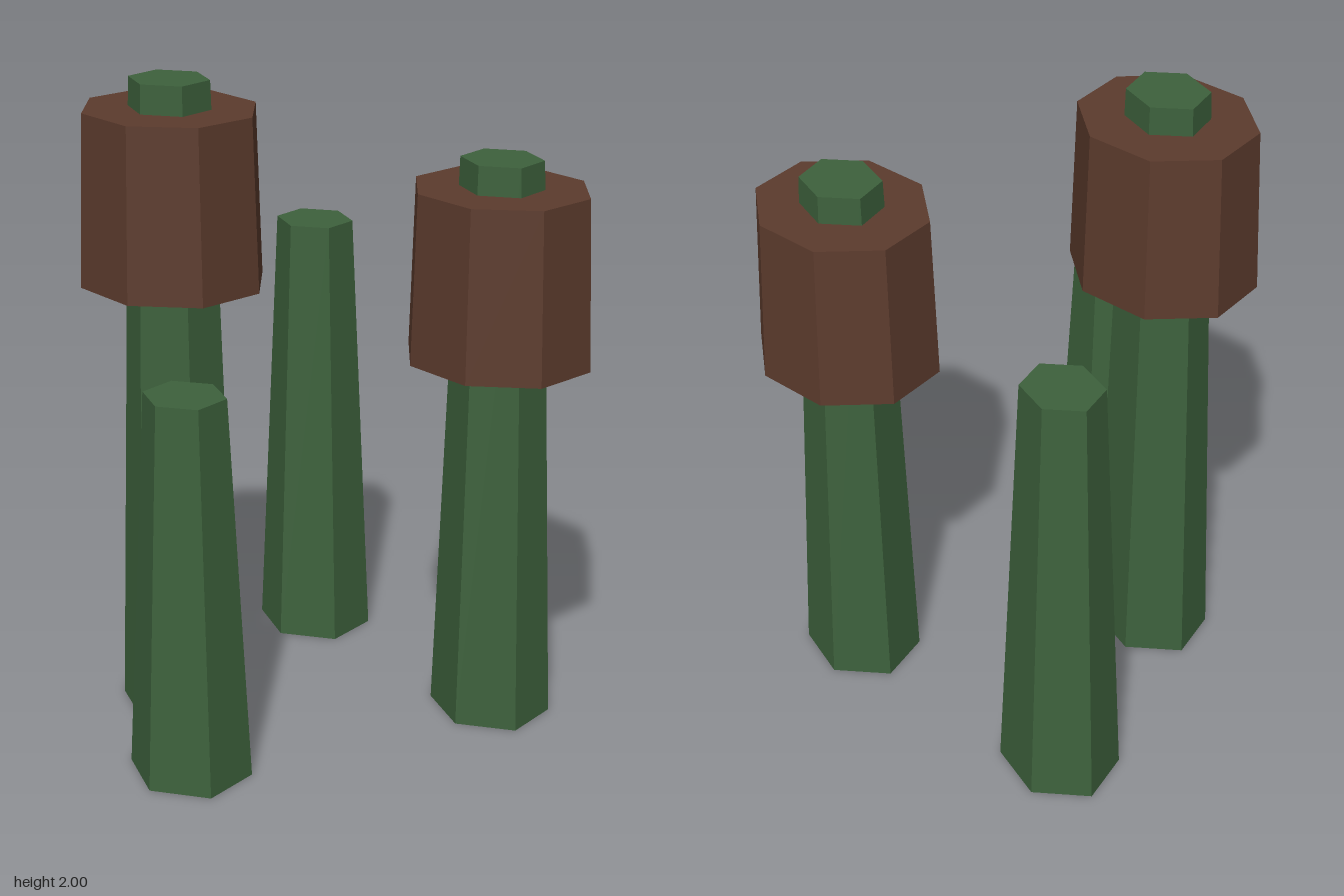
import * as THREE from 'three';

const green = new THREE.MeshStandardMaterial({ color: 0x3d613c, flatShading: true });
green.name = 'stalk green';
const brown = new THREE.MeshStandardMaterial({ color: 0x5c3b2d, flatShading: true });
brown.name = 'seed head brown';

const SQUASH = 0.865; // every reed is slightly narrower in x than in z

// A tapered prism standing on y = base
function taper(name, rTop, rBottom, height, sides, base, material) {
  const geometry = new THREE.CylinderGeometry(rTop, rBottom, height, sides);
  geometry.scale(SQUASH, 1, 1);
  geometry.translate(0, base + height / 2, 0);
  const mesh = new THREE.Mesh(geometry, material);
  mesh.name = name;
  return mesh;
}

export function createModel() {
  const model = new THREE.Group();
  model.name = 'reeds';

  // Two tall reeds with seed heads, two bare stalks
  const reeds = [
    { name: 'tallReed', x: -0.46, z: 0, height: 2, head: true },
    { name: 'middleReed', x: 0.458, z: 0.353, height: 1.768, head: true },
    { name: 'backStalk', x: 0.153, z: -0.475, height: 1.413, head: false },
    { name: 'shortStalk', x: -0.56, z: 0.473, height: 1.178, head: false },
  ];

  for (const { name, x, z, height, head } of reeds) {
    const reed = new THREE.Group();
    reed.name = name;
    reed.position.set(x, 0, z);
    reed.add(taper('stalk', 0.141, 0.211, height, 6, 0, green));
    // Eight-sided head, just below the tip of the stalk
    if (head) reed.add(taper('seedHead', 0.308, 0.328, 0.526, 8, height - 0.614, brown));
    model.add(reed);
  }
  return model;
}
